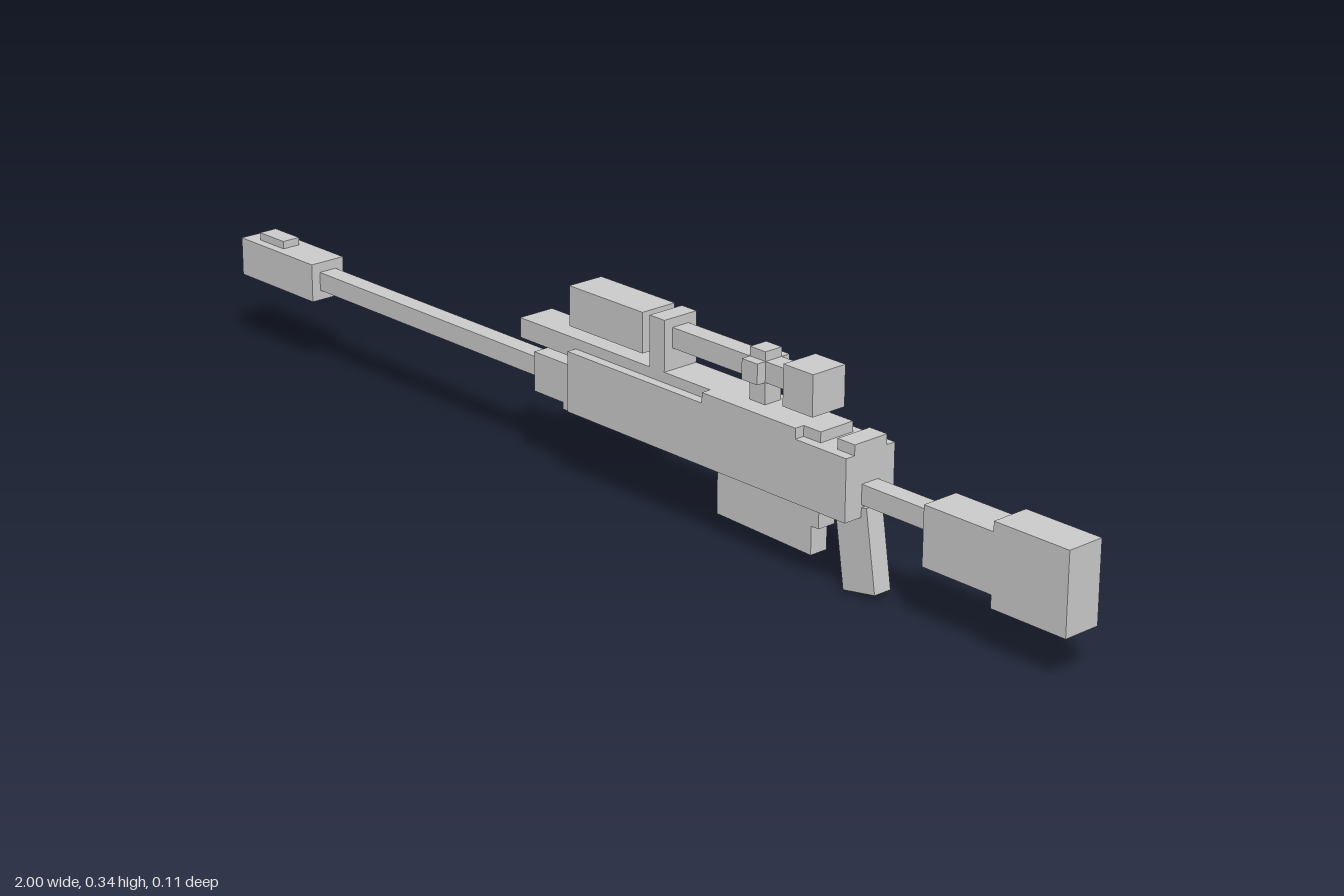
import * as THREE from 'three';

const material = new THREE.MeshStandardMaterial({ color: 0xcccccc, flatShading: true });

export function createModel() {
  const model = new THREE.Group();
  model.name = 'longRifle';

  const add = (name, geometry) => {
    const mesh = new THREE.Mesh(geometry, material);
    mesh.name = name;
    model.add(mesh);
    return mesh;
  };
  // Box given by its limits on each axis
  const block = (name, x0, x1, y0, y1, z0, z1) => {
    const mesh = add(name, new THREE.BoxGeometry(x1 - x0, y1 - y0, z1 - z0));
    mesh.position.set((x0 + x1) / 2, (y0 + y1) / 2, (z0 + z1) / 2);
    return mesh;
  };
  // Box centred on z = 0
  const mid = (name, x0, x1, y0, y1, half) => block(name, x0, x1, y0, y1, -half, half);
  // Side outline extruded along z
  const plate = (name, points, z0, z1) => {
    const shape = new THREE.Shape(points.map(([x, y]) => new THREE.Vector2(x, y)));
    const mesh = add(name, new THREE.ExtrudeGeometry(shape, { depth: z1 - z0, bevelEnabled: false }));
    mesh.position.z = z0;
    return mesh;
  };

  const WIDE = 0.035, THIN = 0.0175, OUTER = 0.053;

  // Barrel and muzzle
  mid('muzzleBrake', -1, -0.79, 0.135, 0.205, WIDE);
  mid('frontSight', -0.967, -0.897, 0.205, 0.219, THIN);
  mid('barrel', -0.79, -0.18, 0.153, 0.187, THIN);
  mid('handguard', -0.18, -0.075, 0.135, 0.205, WIDE);

  // Receiver, with an ejection port cut in the far cheek
  block('receiver', -0.075, 0.567, 0.132, 0.238, -WIDE, OUTER);
  plate('portCheek', [
    [-0.075, 0.132], [0.567, 0.132], [0.567, 0.238], [0.457, 0.238],
    [0.457, 0.203], [0.247, 0.203], [0.247, 0.238], [-0.075, 0.238],
  ], -OUTER, -WIDE);
  block('raisedCheek', 0.247, 0.457, 0.238, 0.256, WIDE, OUTER);
  mid('topRail', -0.215, 0.494, 0.221, 0.256, WIDE);
  mid('rearBlock', 0.53, 0.567, 0.238, 0.256, WIDE);
  mid('lowerPlate', -0.108, 0.476, 0.123, 0.135, WIDE);
  mid('magazineWell', 0.212, 0.476, 0.114, 0.124, THIN);

  // Scope and mounts
  mid('scopeFront', -0.09, 0.088, 0.274, 0.344, WIDE);
  mid('scopeTube', 0.088, 0.41, 0.293, 0.328, THIN);
  mid('scopeRear', 0.41, 0.475, 0.274, 0.344, WIDE);
  mid('frontMount', 0.105, 0.14, 0.256, 0.344, WIDE);
  mid('rearMount', 0.318, 0.353, 0.256, 0.344, THIN);
  mid('scopeKnobs', 0.318, 0.353, 0.293, 0.328, WIDE);

  // Magazine, catch and grip
  plate('magazine', [[0.247, 0.04], [0.46, 0.035], [0.46, 0.125], [0.247, 0.125]], -THIN, THIN);
  mid('magazineCatch', 0.435, 0.476, 0.084, 0.125, THIN);
  plate('grip', [[0.532, 0], [0.6, 0.012], [0.578, 0.15], [0.51, 0.14]], -THIN, THIN);

  // Stock
  mid('stockRod', 0.567, 0.713, 0.153, 0.187, THIN);
  mid('stockFront', 0.713, 0.853, 0.102, 0.203, WIDE);
  mid('stockRear', 0.853, 1, 0.08, 0.22, WIDE);

  return model;
}
